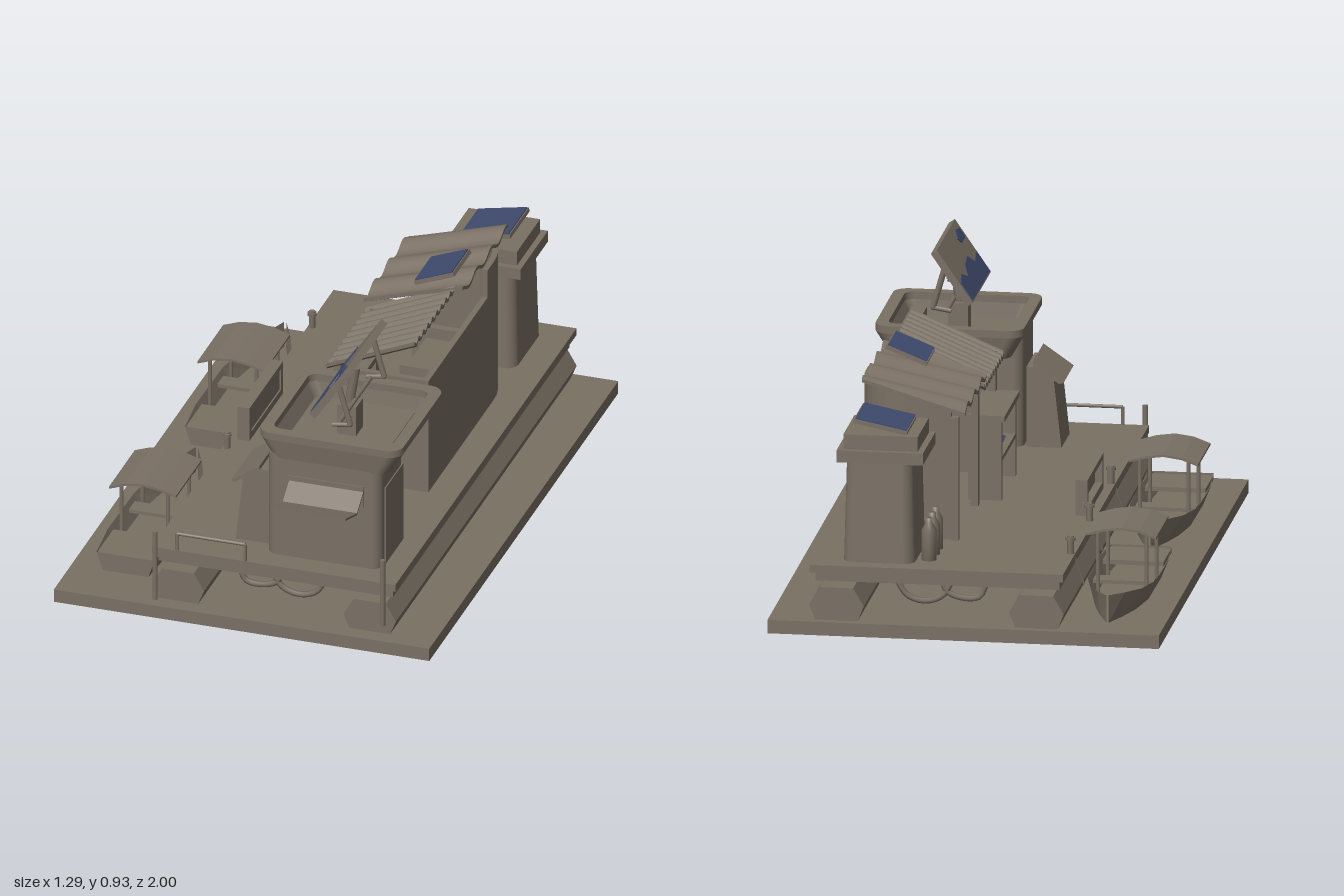
import * as THREE from 'three';

const mat = (name, color, side = THREE.FrontSide) => {
  const m = new THREE.MeshStandardMaterial({ color, side });
  m.name = name;
  return m;
};

export function createModel() {
  const root = new THREE.Group();
  root.name = 'floatingMarket';
  const tan = mat('weatheredBrown', 0x7a7064);
  const tanTwo = mat('weatheredBrownSheet', 0x7a7064, THREE.DoubleSide);
  const blue = mat('solarBlue', 0x3f4a6e);

  const add = (name, geo, m = tan, parent = root) => {
    const mesh = new THREE.Mesh(geo, m);
    mesh.name = name;
    parent.add(mesh);
    return mesh;
  };
  // Box given by its limits on each axis
  const box = (name, x0, x1, y0, y1, z0, z1, m = tan, parent = root) => {
    const mesh = add(name, new THREE.BoxGeometry(x1 - x0, y1 - y0, z1 - z0), m, parent);
    mesh.position.set((x0 + x1) / 2, (y0 + y1) / 2, (z0 + z1) / 2);
    return mesh;
  };
  // Round bar between two points
  const bar = (name, a, b, r, parent = root) => {
    const p = new THREE.Vector3(...a), q = new THREE.Vector3(...b), d = q.clone().sub(p);
    const mesh = add(name, new THREE.CylinderGeometry(r, r, d.length(), 8), tan, parent);
    mesh.position.copy(p).add(q).multiplyScalar(0.5);
    mesh.quaternion.setFromUnitVectors(new THREE.Vector3(0, 1, 0), d.normalize());
    return mesh;
  };
  const poly = pts => new THREE.Shape(pts.map(p => new THREE.Vector2(...p)));
  const prism = (shape, depth) => new THREE.ExtrudeGeometry(shape, { depth, bevelEnabled: false, curveSegments: 8 });
  // Plan outline (x, -z) raised from y0 to y1
  const raise = (shape, y0, y1) => prism(shape, y1 - y0).rotateX(-Math.PI / 2).translate(0, y0, 0);
  const roundRect = (x0, x1, z0, z1, r, S = THREE.Shape) => {
    const s = new S(), H = Math.PI / 2;
    s.absarc(x1 - r, -z0 - r, r, 0, H);
    s.absarc(x0 + r, -z0 - r, r, H, 2 * H);
    s.absarc(x0 + r, -z1 + r, r, 2 * H, 3 * H);
    s.absarc(x1 - r, -z1 + r, r, 3 * H, 4 * H);
    s.closePath();
    return s;
  };
  const warp = (geo, rule) => {
    const p = geo.attributes.position, v = new THREE.Vector3();
    for (let i = 0; i < p.count; i++) {
      rule(v.fromBufferAttribute(p, i));
      p.setXYZ(i, v.x, v.y, v.z);
    }
    geo.computeVertexNormals();
    return geo;
  };

  // Base, deck and pontoons
  box('base', -0.645, 0.645, 0, 0.045, -1, 0.945);
  box('deck', -0.325, 0.51, 0.205, 0.23, -0.975, 0.89);
  box('deckFrame', -0.31, 0.495, 0.172, 0.205, -0.95, 0.87);
  const section = [[-0.09, 0.095], [-0.07, 0.045], [0.07, 0.045], [0.09, 0.095], [0.055, 0.155], [-0.055, 0.155]];
  for (const x of [-0.237, 0.422]) {
    add('pontoon', prism(poly(section), 1.86)).position.set(x, 0, -0.97);
    for (const z of [-0.8, -0.3, 0.2, 0.7]) box('pontoonBlock', x - 0.04, x + 0.04, 0.15, 0.175, z - 0.05, z + 0.05);
  }

  // Slack hoses under both deck ends
  const hoses = [[[-0.06, 0.18], [-0.03, 0.11], [0.07, 0.12], [0.1, 0.18]],
    [[0.05, 0.18], [0.09, 0.11], [0.15, 0.09], [0.21, 0.11], [0.25, 0.18]]];
  for (const z of [-0.85, 0.8]) for (const h of hoses) {
    const curve = new THREE.CatmullRomCurve3(h.map(p => new THREE.Vector3(p[0], p[1], z)));
    add('hangingHose', new THREE.TubeGeometry(curve, 16, 0.01, 6));
  }

  // Front railing, mooring posts, bollards
  for (const x of [-0.24, -0.008]) bar('railPost', [x, 0.23, 0.885], [x, 0.29, 0.885], 0.006);
  bar('railTop', [-0.24, 0.29, 0.885], [-0.008, 0.29, 0.885], 0.006);
  bar('mooringPost', [-0.312, 0.045, 0.9], [-0.312, 0.295, 0.9], 0.009);
  bar('mooringPost', [0.47, 0.08, 0.9], [0.47, 0.32, 0.9], 0.009);
  for (const z of [-0.71, -0.3, 0.165]) {
    bar('bollard', [-0.31, 0.2, z], [-0.31, 0.29, z], 0.011);
    bar('bollardCap', [-0.31, 0.275, z], [-0.31, 0.285, z], 0.016);
    bar('mooringLine', [-0.31, 0.26, z], [-0.35, 0.12, z + 0.03], 0.004);
  }

  // Deck-side display frame
  box('frameBottom', -0.295, -0.255, 0.23, 0.255, -0.245, 0.1);
  box('frameTop', -0.295, -0.255, 0.33, 0.35, -0.245, 0.1);
  for (const z of [-0.245, 0.08]) box('frameSide', -0.295, -0.255, 0.25, 0.335, z, z + 0.02);
  box('frameBack', -0.27, -0.26, 0.25, 0.335, -0.23, 0.09);

  // Front kiosk with slot, folded awning and side door
  add('kioskBody', raise(roundRect(0.04, 0.43, 0.56, 0.81, 0.035), 0.23, 0.6));
  box('serviceSlot', 0.115, 0.375, 0.455, 0.53, 0.808, 0.815);
  box('sideDoor', 0.428, 0.434, 0.23, 0.51, 0.58, 0.76);
  const awning = [[0.8, 0.515], [0.88, 0.46], [1, 0.5], [1, 0.507], [0.88, 0.468], [0.8, 0.523]];
  const awn = add('awning', prism(poly(awning.map(([z, y]) => [-z, y])), 0.255));
  awn.rotation.y = Math.PI / 2;
  awn.position.x = 0.12;

  // Flared roof tray
  const flare = g => warp(g, v => {
    const t = Math.min(1, (v.y - 0.58) / 0.075);
    v.x = 0.25 + (v.x - 0.25) * (0.82 + 0.18 * t);
    v.z = 0.6 + (v.z - 0.6) * (0.95 + 0.05 * t);
  });
  const rim = roundRect(0.01, 0.5, 0.345, 0.82, 0.05);
  rim.holes.push(roundRect(0.05, 0.46, 0.385, 0.78, 0.03, THREE.Path));
  add('roofFloor', flare(raise(roundRect(0.01, 0.5, 0.345, 0.82, 0.05), 0.58, 0.605)));
  add('roofWall', flare(raise(rim, 0.605, 0.655)));
  add('roofRim', flare(raise(rim, 0.655, 0.68)));
  box('roofSlat', 0.385, 0.435, 0.605, 0.64, 0.47, 0.75);

  // Tilted solar panel on its stand
  box('panelFoot', 0.22, 0.285, 0.605, 0.71, 0.55, 0.62);
  bar('panelPost', [0.25, 0.7, 0.585], [0.272, 0.84, 0.585], 0.016);
  for (const z of [0.42, 0.77]) {
    bar('panelArm', [0.315, 0.73, z], [0.275, 0.87, z], 0.01);
    bar('panelArmFoot', [0.255, 0.72, z], [0.32, 0.73, z], 0.008);
  }
  bar('panelCross', [0.27, 0.72, 0.42], [0.27, 0.72, 0.77], 0.008);
  const panel = new THREE.Group();
  panel.name = 'solarPanel';
  panel.position.set(0.25, 0.835, 0.595);
  panel.rotation.z = 0.97;
  root.add(panel);
  box('panelFrame', -0.105, 0.105, -0.012, 0.012, -0.195, 0.195, tan, panel);
  const patches = [
    [[-0.1, -0.185], [-0.1, 0.185], [-0.03, 0.185], [-0.015, 0.12], [-0.04, 0.07], [-0.01, 0.02], [0, -0.06], [-0.035, -0.1], [-0.02, -0.185]],
    [[0.04, -0.17], [0.04, -0.1], [0.06, -0.08], [0.085, -0.12], [0.075, -0.17]]];
  for (const p of patches) add('panelCells', raise(poly(p), 0.012, 0.015), blue, panel);

  // Small booth beside the kiosk
  const booth = [[-0.085, 0.23], [0.03, 0.23], [0.03, 0.5], [-0.01, 0.5], [-0.06, 0.46]];
  add('boothBody', prism(poly(booth), 0.18)).position.z = 0.57;
  const hood = [[-0.095, 0.455], [-0.08, 0.452], [0.005, 0.51], [0.005, 0.525]];
  add('boothHood', prism(poly(hood), 0.225)).position.z = 0.548;

  // Open-sided market hall: curved wall under two roof sheets
  const wall = new THREE.Shape();
  wall.moveTo(0.12, -0.25).lineTo(0.41, -0.25).lineTo(0.41, 0.42);
  wall.quadraticCurveTo(0.41, 0.6, 0.25, 0.6).lineTo(0.1, 0.6).lineTo(0.1, 0.58).lineTo(0.25, 0.58);
  wall.quadraticCurveTo(0.39, 0.58, 0.39, 0.42).lineTo(0.39, -0.23).lineTo(0.12, -0.23);
  add('hallWall', raise(wall, 0.23, 0.64));
  const upper = new THREE.Shape();
  upper.moveTo(0.41, 0.36).lineTo(0.41, 0.42).quadraticCurveTo(0.41, 0.6, 0.25, 0.6).lineTo(0.1, 0.6);
  upper.lineTo(0.1, 0.58).lineTo(0.25, 0.58).quadraticCurveTo(0.39, 0.58, 0.39, 0.42).lineTo(0.39, 0.36);
  add('upperWall', warp(raise(upper, 0.64, 0.74), v => { v.y = Math.min(v.y, 0.66 + 0.25 * (v.x - 0.06)); }));
  const sheet = (name, x0, x1, z0, z1, height) => {
    const g = new THREE.BoxGeometry(x1 - x0, 0.012, z1 - z0, 8, 1, 72).translate((x0 + x1) / 2, 0, (z0 + z1) / 2);
    return add(name, warp(g, v => { v.y += height(v.x, v.z); }));
  };
  sheet('corrugatedRoof', 0.055, 0.36, -0.17, 0.245,
    (x, z) => 0.63 + 0.43 * (x - 0.06) + 0.008 * Math.sin(z * 136));
  sheet('saggingRoof', 0.05, 0.39, -0.63, -0.16,
    (x, z) => 0.675 + 0.25 * (x - 0.06) + 0.012 * Math.sin(z * 42 + x * 5));
  for (const z of [-0.61, -0.18, 0.2]) box('hallPost', 0.075, 0.1, 0.23, 0.645, z, z + 0.025);

  // Bench inside the hall
  box('benchSeat', 0.16, 0.33, 0.36, 0.39, -0.5, -0.2);
  box('benchBack', 0.32, 0.345, 0.36, 0.5, -0.5, -0.2);
  for (const z of [-0.5, -0.225]) box('benchSide', 0.16, 0.34, 0.23, 0.43, z, z + 0.025);

  // Counter with slanted display
  box('counterTop', 0, 0.12, 0.495, 0.515, -0.1, 0.22);
  box('counterShelf', 0.01, 0.12, 0.36, 0.375, -0.09, 0.21);
  for (const z of [-0.1, 0.2]) box('counterSide', 0.01, 0.12, 0.23, 0.495, z, z + 0.02);
  box('displayPlate', 0.03, 0.1, 0.39, 0.398, 0, 0.13, blue).rotation.z = 0.35;

  // Rear tower: tapered body, cap and panel
  add('towerBody', warp(raise(roundRect(0.175, 0.41, -0.92, -0.64, 0.04), 0.23, 0.57), v => {
    const s = 1 - 0.07 * (v.y - 0.23) / 0.34;
    v.x = 0.29 + (v.x - 0.29) * s;
    v.z = -0.78 + (v.z + 0.78) * s;
  }));
  box('towerCap', 0.145, 0.43, 0.565, 0.605, -0.92, -0.64);
  box('towerTop', 0.165, 0.41, 0.605, 0.655, -0.9, -0.66);
  const tilted = (name, x, y, z, w, d, angle) => {
    const g = new THREE.Group();
    g.name = name;
    g.position.set(x, y, z);
    g.rotation.z = angle;
    root.add(g);
    box('panelBacking', -w / 2, w / 2, -0.014, 0, -d / 2, d / 2, tan, g);
    box('panelCells', -w / 2 + 0.004, w / 2 - 0.004, 0, 0.004, -d / 2 + 0.004, d / 2 - 0.004, blue, g);
  };
  tilted('towerPanel', 0.29, 0.685, -0.78, 0.18, 0.2, 0.2);
  tilted('hallPanel', 0.283, 0.785, -0.268, 0.145, 0.175, 0.38);

  // Gas bottles beside the tower
  const bottle = [[0, 0], [0.025, 0], [0.025, 0.1], [0.012, 0.125], [0.012, 0.14], [0, 0.14]].map(p => new THREE.Vector2(...p));
  for (const z of [-0.85, -0.78, -0.71]) add('gasBottle', new THREE.LatheGeometry(bottle, 12)).position.set(0.135, 0.23, z);

  // Covered boats, bow towards the back
  const stations = [[-0.37, 0.004, 0.14], [-0.29, 0.045, 0.13], [-0.19, 0.085, 0.118], [-0.06, 0.112, 0.11], [0.2, 0.115, 0.11], [0.365, 0.1, 0.11]];
  const pos = [], idx = [];
  stations.forEach(([z, w, top], i) => {
    for (const [k, y] of [[-1, top], [-0.78, 0.047], [0.78, 0.047], [1, top]]) pos.push(k * w, y, z);
    if (i) for (let j = 0; j < 3; j++) {
      const a = (i - 1) * 4 + j;
      idx.push(a, a + 1, a + 4, a + 1, a + 5, a + 4);
    }
  });
  idx.push(20, 21, 22, 20, 22, 23);
  const hull = new THREE.BufferGeometry();
  hull.setAttribute('position', new THREE.Float32BufferAttribute(pos, 3));
  hull.setIndex(idx);
  const hullFlat = hull.toNonIndexed();
  hullFlat.computeVertexNormals();
  const canopy = [[-0.115, 0.252], [-0.06, 0.272], [0, 0.28], [0.06, 0.272], [0.115, 0.257], [0.115, 0.264], [0.06, 0.28], [0, 0.288], [-0.06, 0.28], [-0.115, 0.26]];
  for (const z of [0.405, -0.505]) {
    const boat = new THREE.Group();
    boat.name = 'boat';
    boat.position.set(-0.457, 0, z);
    root.add(boat);
    add('hull', hullFlat, tanTwo, boat);
    add('canopy', prism(poly(canopy), 0.265), tan, boat).position.z = -0.075;
    for (const x of [-0.08, 0.08]) for (const pz of [-0.05, 0.165]) bar('canopyPost', [x, 0.05, pz], [x, 0.27, pz], 0.007, boat);
    box('sternDeck', -0.1, 0.1, 0.09, 0.105, 0.19, 0.355, tan, boat);
    box('boatSeat', -0.1, 0.1, 0.085, 0.097, -0.03, 0.03, tan, boat);
  }
  return root;
}
